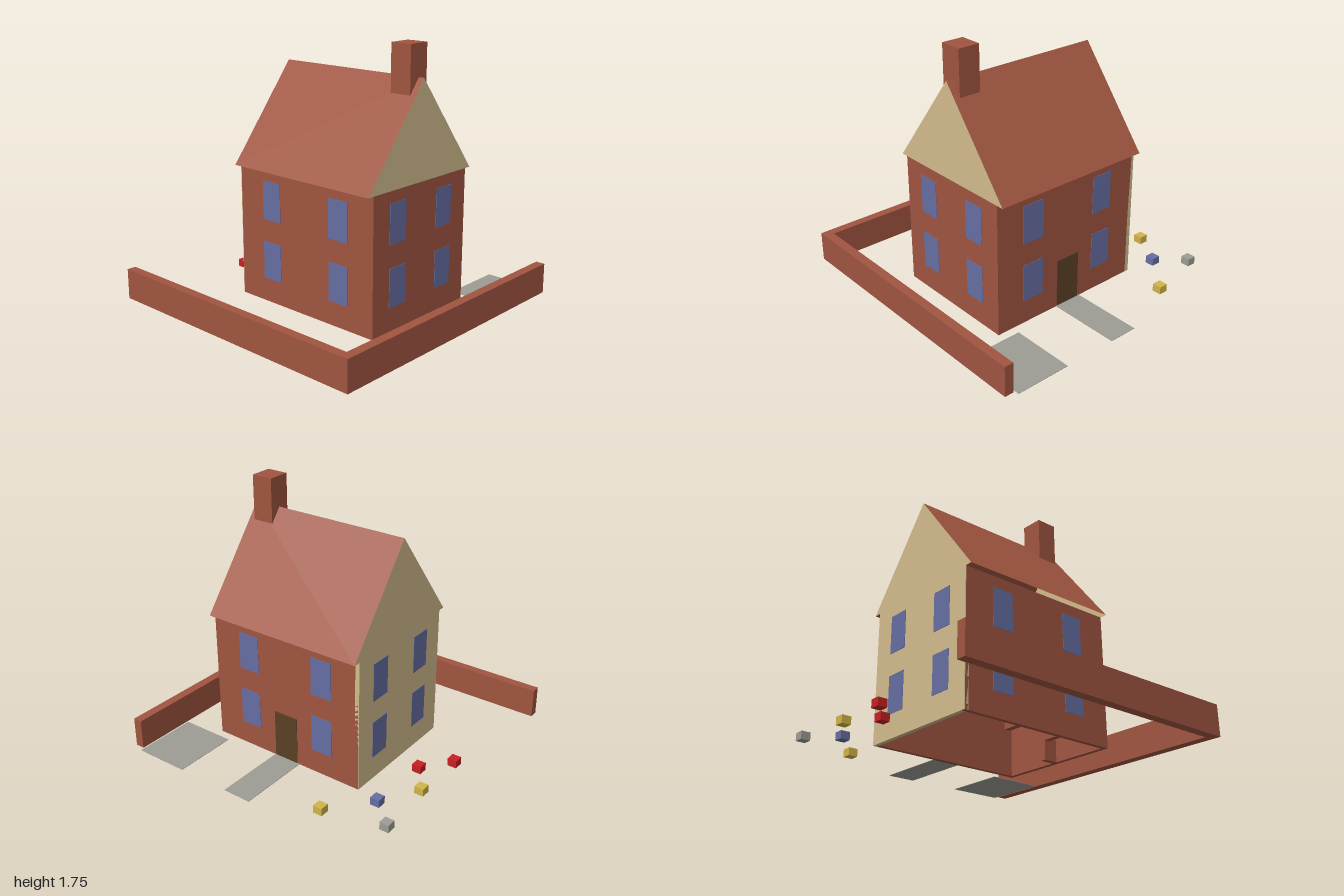
import * as THREE from 'three';

const mat = (name, color) => Object.assign(new THREE.MeshStandardMaterial({ color, side: THREE.DoubleSide }), { name });

export function createModel() {
  const brick = mat('brick', 0xa05540);
  const plaster = mat('plaster', 0xd2bc8c);
  const glass = mat('blue', 0x666ea2);
  const wood = mat('dark wood', 0x5a4026);
  const stone = mat('stone grey', 0x9d9d94);
  const red = mat('red', 0xc82024);
  const yellow = mat('yellow', 0xd0b548);

  const model = new THREE.Group();
  model.name = 'houseWithGarden';

  const add = (name, geometry, material) => {
    const mesh = new THREE.Mesh(geometry, material);
    mesh.name = name;
    model.add(mesh);
    return mesh;
  };
  // Box given by its lower and upper corners
  const box = (name, material, x0, x1, y0, y1, z0, z1) => {
    const mesh = add(name, new THREE.BoxGeometry(x1 - x0, y1 - y0, z1 - z0), material);
    mesh.position.set((x0 + x1) / 2, (y0 + y1) / 2, (z0 + z1) / 2);
    return mesh;
  };

  const X0 = -0.4, X1 = 0.5, Z0 = -0.51, Z1 = 0.64, H = 0.9, T = 0.03;

  // House walls, hollow inside
  box('frontWall', brick, X0, X1, 0, H, Z1 - T, Z1);
  box('backWall', plaster, X0, X1, 0, H, Z0, Z0 + T);
  box('rightWall', brick, X0, X0 + T, 0, H, Z0 + 0.004, Z1 - T);
  box('leftWall', brick, X1 - T, X1, 0, H, Z0 + 0.004, Z1 - T);

  // Short inner wall stubs
  box('innerStub', brick, 0.03, 0.07, 0, H, Z1 - T - 0.1, Z1 - T);
  for (const z of [-0.1, 0.22]) box('innerStub', brick, X0 + T, X0 + T + 0.1, 0, H, z, z + 0.04);

  // Roof: two slopes and two gables, open underneath
  const ridge = [0.05, 1.54], eaves = [-0.45, 0.55];
  for (const x of eaves) {
    const slope = new THREE.BufferGeometry();
    const a = [x, H, Z0], b = [x, H, Z1], c = [...ridge, Z1], d = [...ridge, Z0];
    const corners = x < ridge[0] ? [a, b, c, a, c, d] : [a, c, b, a, d, c];
    slope.setAttribute('position', new THREE.Float32BufferAttribute(corners.flat(), 3));
    slope.computeVertexNormals();
    add('roofSlope', slope, brick);
  }
  const gable = new THREE.ShapeGeometry(new THREE.Shape([
    new THREE.Vector2(eaves[0], H), new THREE.Vector2(eaves[1], H), new THREE.Vector2(...ridge),
  ]));
  add('frontGable', gable, plaster).position.z = Z1;
  const backShape = gable.clone().rotateY(Math.PI).translate(2 * ridge[0], 0, 0);
  add('backGable', backShape, plaster).position.z = Z0;

  // Chimney
  box('chimney', brick, -0.03, 0.125, 1.41, 1.745, 0.45, 0.6);

  // Windows on all four sides, and the door
  const e = 0.003;
  for (const [y0, y1] of [[0.16, 0.415], [0.565, 0.825]]) {
    for (const x of [-0.25, 0.2]) {
      box('frontWindow', glass, x, x + 0.152, y0, y1, Z1 - e, Z1 + e);
      box('backWindow', glass, x, x + 0.152, y0, y1, Z0 - e, Z0 + e);
    }
    for (const z of [-0.3, 0.28]) {
      box('rightWindow', glass, X0 - e, X0 + e, y0, y1, z, z + 0.156);
      box('leftWindow', glass, X1 - e, X1 + e, y0, y1, z, z + 0.156);
    }
  }
  box('door', wood, X1 - e, X1 + e, 0, 0.335, -0.025, 0.155);

  // Garden walls
  box('frontGardenWall', brick, -1, 0.97, 0, 0.205, 0.922, 0.985);
  box('sideGardenWall', brick, -1, -0.938, 0, 0.205, -0.99, 0.922);

  // Paving
  box('doorPath', stone, X1, 1, 0, 0.003, -0.04, 0.16);
  box('drive', stone, 0.56, 1, 0, 0.003, 0.53, 0.91);

  // Small blocks behind the house
  const blocks = [
    [red, -0.08, -0.86], [red, 0.112, -0.71], [yellow, 0.305, -0.85],
    [yellow, 0.83, -0.465], [glass, 0.56, -0.695], [stone, 0.725, -0.875],
  ];
  for (const [m, x, z] of blocks) box('gardenBlock', m, x - 0.032, x + 0.032, 0.012, 0.064, z - 0.032, z + 0.032);

  return model;
}
